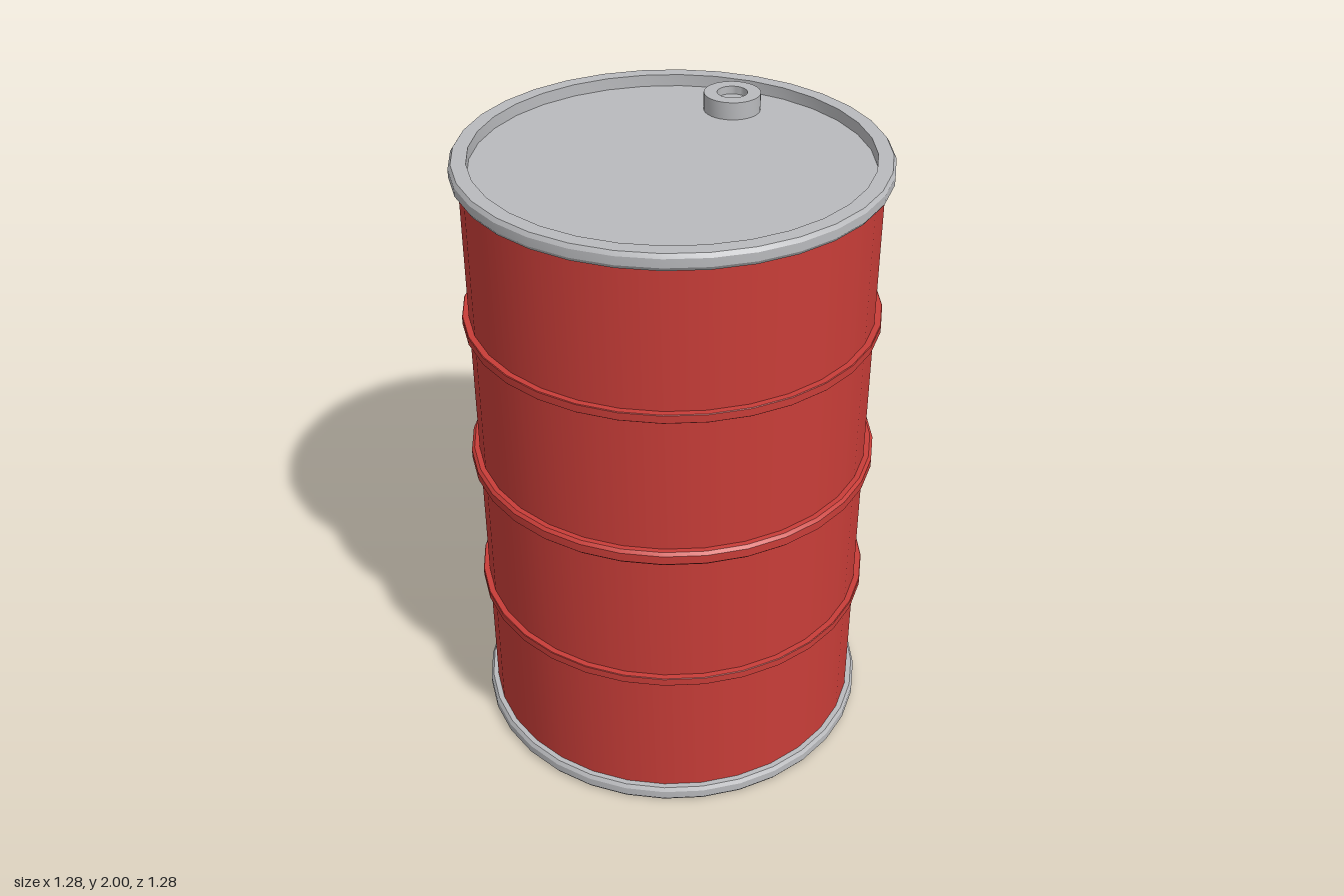
import * as THREE from 'three';
import { toCreasedNormals } from 'three/addons/utils/BufferGeometryUtils.js';

const SIDES = 32;
const red = new THREE.MeshStandardMaterial({ name: 'red paint', color: 0xc83d38 });
const grey = new THREE.MeshStandardMaterial({ name: 'grey metal', color: 0xb9babd });

// Turned part from a [radius, y] profile, outer side listed upwards
function turned(name, profile, material) {
  const points = profile.map(([r, y]) => new THREE.Vector2(r, y));
  const geometry = toCreasedNormals(new THREE.LatheGeometry(points, SIDES), 0.5);
  const mesh = new THREE.Mesh(geometry, material);
  mesh.name = name;
  return mesh;
}

// Raised hoop with bevelled outer corners
function hoop(name, y, half, radius, bevel) {
  return turned(name, [
    [0.61, y - half], [radius - bevel, y - half], [radius, y - half + bevel],
    [radius, y + half - bevel], [radius - bevel, y + half], [0.61, y + half],
  ], red);
}

export function createModel() {
  const drum = new THREE.Group();
  drum.name = 'drum';

  // Painted shell and its three hoops
  drum.add(turned('shell', [[0.617, 0.03], [0.617, 1.95]], red));
  drum.add(hoop('lowerHoop', 0.512, 0.014, 0.637, 0.002));
  drum.add(hoop('middleHoop', 0.993, 0.023, 0.642, 0.009));
  drum.add(hoop('upperHoop', 1.478, 0.014, 0.637, 0.002));

  // Bottom rim with recessed base
  drum.add(turned('bottomRim', [
    [0.55, 0.028], [0.55, 0], [0.634, 0], [0.642, 0.012],
    [0.642, 0.038], [0.634, 0.05], [0.61, 0.05],
  ], grey));
  drum.add(turned('base', [[0, 0.028], [0.55, 0.028]], grey));

  // Top rim with recessed lid
  drum.add(turned('topRim', [
    [0.61, 1.932], [0.634, 1.932], [0.642, 1.944], [0.642, 1.97],
    [0.634, 1.982], [0.59, 1.982], [0.59, 1.945],
  ], grey));
  drum.add(turned('lid', [[0.59, 1.945], [0, 1.945]], grey));

  // Filler cap with a shallow socket
  const cap = turned('fillerCap', [
    [0.088, 1.945], [0.088, 2], [0.047, 2], [0.047, 1.975], [0, 1.975],
  ], grey);
  cap.position.z = -0.44;
  drum.add(cap);

  return drum;
}
